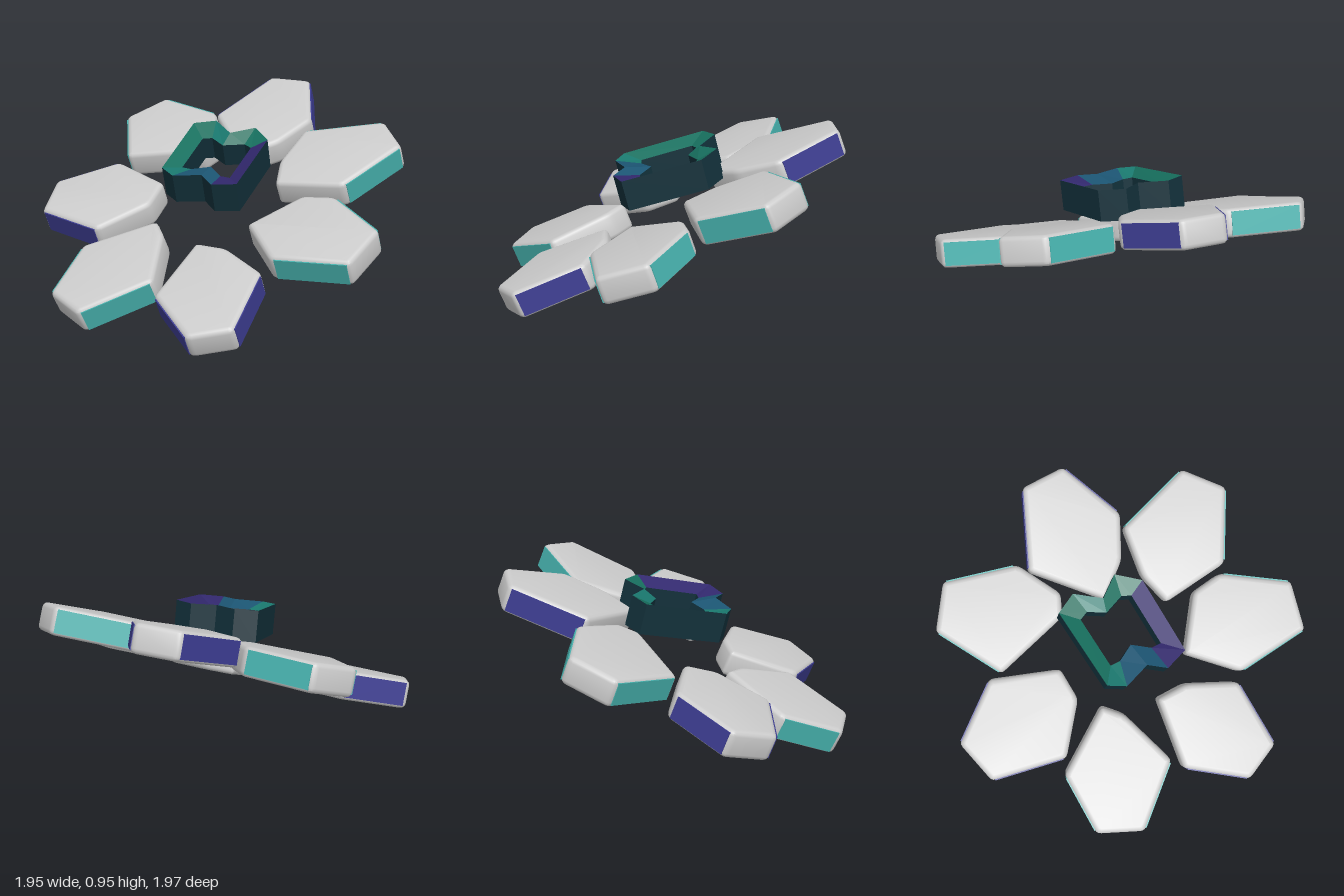
import * as THREE from 'three';
import { toCreasedNormals } from 'three/addons/utils/BufferGeometryUtils.js';

const mat = (color, extra = {}) => new THREE.MeshStandardMaterial({ color, ...extra });
const grey = mat(0xcccccc);
const teal = mat(0x46b0ac);
const purple = mat(0x3c3c90);

// Each plate: centre [x, y, z], slope of its plane along x and z,
// outline corners [x, z] seen from above, and the two tinted edges.
const plates = [
  { name: 'leftPlate', c: [-0.64, 0.215, 0.18], a: 0.38, b: -0.19, tint: teal, edges: [0, 4],
    pts: [[-0.98, 0.16], [-0.73, -0.11], [-0.31, -0.01], [-0.31, 0.14], [-0.46, 0.47], [-0.88, 0.43]] },
  { name: 'backLeftPlate', c: [-0.55, 0.40, -0.38], a: 0.3, b: -0.2, tint: purple, edges: [1, 5],
    pts: [[-0.91, -0.45], [-0.77, -0.69], [-0.38, -0.63], [-0.20, -0.26], [-0.33, -0.11], [-0.66, -0.08]] },
  { name: 'backPlate', c: [-0.08, 0.655, -0.66], a: 0.3, b: -0.18, tint: teal, edges: [0, 2],
    pts: [[-0.38, -0.54], [-0.28, -0.96], [0, -1.0], [0.22, -0.63], [0.15, -0.35], [0.02, -0.3]] },
  { name: 'backRightPlate', c: [0.46, 0.80, -0.42], a: 0.3, b: -0.22, tint: purple, edges: [0, 2],
    pts: [[0.16, -0.57], [0.58, -0.73], [0.77, -0.54], [0.64, -0.16], [0.40, -0.08], [0.16, -0.11]] },
  { name: 'rightPlate', c: [0.62, 0.71, 0.14], a: 0.33, b: -0.2, tint: teal, edges: [2, 4],
    pts: [[0.26, 0.20], [0.35, 0.02], [0.57, -0.16], [0.98, 0.07], [0.97, 0.35], [0.57, 0.46]] },
  { name: 'frontRightPlate', c: [0.34, 0.475, 0.65], a: 0.3, b: -0.18, tint: teal, edges: [0, 2],
    pts: [[0.06, 0.70], [0.40, 0.99], [0.64, 0.83], [0.55, 0.42], [0.40, 0.30], [0.05, 0.35]] },
  { name: 'frontLeftPlate', c: [-0.22, 0.245, 0.64], a: 0.32, b: -0.24, tint: purple, edges: [3, 5],
    pts: [[-0.51, 0.52], [-0.19, 0.26], [-0.05, 0.40], [0.06, 0.69], [-0.20, 1.0], [-0.44, 0.91]] },
];

// Maps flat plan coordinates onto a sloping plane; thickness follows its normal
function slopeMatrix(c, a, b) {
  const n = new THREE.Vector3(-a, 1, -b).normalize();
  return new THREE.Matrix4()
    .makeBasis(new THREE.Vector3(1, a, 0), n, new THREE.Vector3(0, b, 1))
    .setPosition(...c);
}

// Polygon shape with small rounded corners
function roundedShape(pts, r) {
  const shape = new THREE.Shape();
  pts.forEach((p, i) => {
    const toward = (q) => p.clone().add(q.clone().sub(p).setLength(r));
    const start = toward(pts[(i + pts.length - 1) % pts.length]);
    const end = toward(pts[(i + 1) % pts.length]);
    if (i) shape.lineTo(start.x, start.y);
    else shape.moveTo(start.x, start.y);
    shape.quadraticCurveTo(p.x, p.y, end.x, end.y);
  });
  shape.closePath();
  return shape;
}

function makePlate({ name, c, a, b, tint, edges, pts }) {
  const group = new THREE.Group();
  group.name = name;
  const m = slopeMatrix(c, a, b);

  // Slab with softened rims
  const local = pts.map(([x, z]) => new THREE.Vector2(x - c[0], c[2] - z));
  let slab = new THREE.ExtrudeGeometry(roundedShape(local, 0.035), {
    depth: 0.1, bevelThickness: 0.027, bevelSize: 0.027, bevelOffset: -0.045,
    bevelSegments: 3, curveSegments: 3,
  });
  slab.translate(0, 0, -0.05).rotateX(-Math.PI / 2).applyMatrix4(m);
  slab = toCreasedNormals(slab, 0.6);
  const slabMesh = new THREE.Mesh(slab, grey);
  slabMesh.name = 'slab';
  group.add(slabMesh);

  // Tinted strips along two edges
  for (const i of edges) {
    const p = local[i], q = local[(i + 1) % local.length];
    const mid = p.clone().add(q).multiplyScalar(0.5);
    const dir = q.clone().sub(p);
    const out = new THREE.Vector2(dir.y, -dir.x).normalize();
    if (out.dot(mid) < 0) out.negate();
    mid.addScaledVector(out, -0.025);
    const strip = new THREE.BoxGeometry(dir.length() - 0.06, 0.125, 0.02)
      .rotateY(Math.atan2(dir.y, dir.x))
      .translate(mid.x, 0, -mid.y)
      .applyMatrix4(m);
    const mesh = new THREE.Mesh(strip, tint);
    mesh.name = 'edgeStrip';
    group.add(mesh);
  }
  return group;
}

// Quad strip between two matching closed loops, limited to some segments
function band(lower, upper, segments) {
  const pos = [];
  for (const i of segments) {
    const j = (i + 1) % lower.length;
    for (const v of [lower[i], upper[j], lower[j], lower[i], upper[i], upper[j]]) pos.push(...v);
  }
  const g = new THREE.BufferGeometry();
  g.setAttribute('position', new THREE.Float32BufferAttribute(pos, 3));
  g.computeVertexNormals();
  return g;
}

// Faceted hollow core floating over the middle
function makeCore() {
  const group = new THREE.Group();
  group.name = 'core';
  const outer = [[-0.03, -0.32], [0.09, -0.28], [0.12, -0.12], [0.26, -0.1], [0.28, 0.05],
    [0, 0.37], [-0.12, 0.31], [-0.14, 0.2], [-0.28, 0.13], [-0.31, 0.03]];
  const inner = [[-0.02, -0.2], [0.03, -0.18], [0.06, -0.08], [0.17, -0.03], [0.19, 0.02],
    [0, 0.24], [-0.04, 0.2], [-0.06, 0.09], [-0.16, 0.06], [-0.2, 0.02]];
  const m = slopeMatrix([0, 0.73, 0], 0.18, -0.17);
  const loop = (pts, h) => pts.map(([x, z]) =>
    new THREE.Vector3(x, h, z).applyMatrix4(m).toArray());
  const all = outer.map((_, i) => i);
  const oTop = loop(outer, 0.085), oBottom = loop(outer, -0.085);
  const iTop = loop(inner, 0.045), iBottom = loop(inner, -0.085);
  const dark = mat(0x12303a, { flatShading: true, side: THREE.DoubleSide });
  const add = (name, geo, material) => {
    const mesh = new THREE.Mesh(geo, material);
    mesh.name = name;
    group.add(mesh);
  };
  add('coreOuterWall', band(oBottom, oTop, all), dark);
  add('coreInnerWall', band(iTop, iBottom, all), dark);
  add('coreUnderside', band(iBottom, oBottom, all), dark);
  // Coloured facets sloping inward
  const facets = { 0x17705f: [0, 2, 3, 9], 0x1a7a70: [1, 8], 0x32286e: [4, 5], 0x1c5674: [6, 7] };
  for (const [color, segs] of Object.entries(facets)) {
    add('coreFacets', band(oTop, iTop, segs),
      mat(Number(color), { flatShading: true, side: THREE.DoubleSide }));
  }
  return group;
}

export function createModel() {
  const model = new THREE.Group();
  model.name = 'plateRing';
  plates.forEach((p) => model.add(makePlate(p)));
  model.add(makeCore());
  return model;
}
